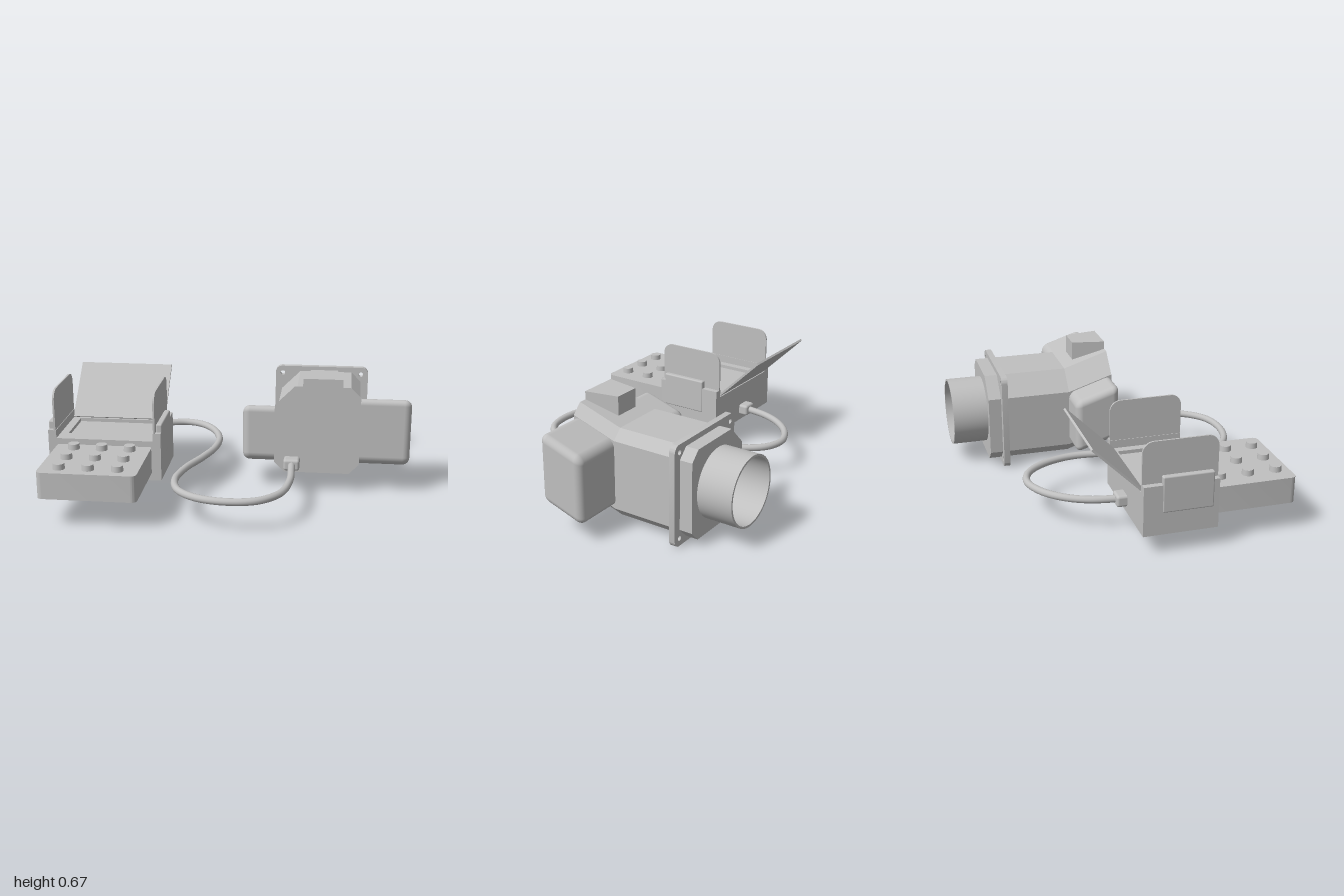
import * as THREE from 'three';
import { toCreasedNormals } from 'three/addons/utils/BufferGeometryUtils.js';
import { RoundedBoxGeometry } from 'three/addons/geometries/RoundedBoxGeometry.js';

const grey = new THREE.MeshStandardMaterial({ color: 0xc0c0c0 });
grey.name = 'plain grey';

const part = (parent, name, geometry) => {
  const mesh = new THREE.Mesh(geometry, grey);
  mesh.name = name;
  parent.add(mesh);
  return mesh;
};

// Box given by its limits on each axis, with optional rounded edges
function box([x0, x1], [y0, y1], [z0, z1], r = 0) {
  const s = [x1 - x0, y1 - y0, z1 - z0];
  const g = r ? new RoundedBoxGeometry(...s, 4, r) : new THREE.BoxGeometry(...s);
  return g.translate((x0 + x1) / 2, (y0 + y1) / 2, (z0 + z1) / 2);
}

const polygon = pts => new THREE.Shape(pts.map(p => new THREE.Vector2(...p)));

function roundedRect(x0, x1, y0, y1, r) {
  const s = new THREE.Shape();
  s.absarc(x1 - r, y1 - r, r, 0, Math.PI / 2);
  s.absarc(x0 + r, y1 - r, r, Math.PI / 2, Math.PI);
  s.absarc(x0 + r, y0 + r, r, Math.PI, Math.PI * 1.5);
  s.absarc(x1 - r, y0 + r, r, Math.PI * 1.5, Math.PI * 2);
  return s;
}

const extrude = (shape, depth) => toCreasedNormals(
  new THREE.ExtrudeGeometry(shape, { depth, bevelEnabled: false, curveSegments: 8 }), 0.6);

// Extrusion of a plan shape (x, -z) upward from y0 to y1
const extrudeUp = (shape, y0, y1) => extrude(shape, y1 - y0).rotateX(-Math.PI / 2).translate(0, y0, 0);

// Raises a geometry gradually towards the front, starting at z = -0.12
const lift = g => g.translate(0, 0, 0.12)
  .applyMatrix4(new THREE.Matrix4().makeShear(0, 0, 0, 0, 0, 0.325))
  .translate(0, 0, -0.12);
lift.slope = 0.325;

function slopeUp(g) {
  const k = lift.slope;
  return g.applyMatrix4(new THREE.Matrix4().set(1, 0, 0, 0, 0, 1, k, k * 0.12, 0, 0, 1, 0, 0, 0, 0, 1));
}

function createHousing() {
  const g = new THREE.Group();
  g.name = 'housing';

  // Chamfered body: straight at the back, rising towards the front
  const section = polygon([[0.295, 0.033], [0.66, 0.033], [0.715, 0.09], [0.715, 0.48],
    [0.66, 0.535], [0.35, 0.535], [0.24, 0.425], [0.24, 0.09]]);
  part(g, 'rearBody', extrude(section, 0.48).translate(0, 0, -0.6));
  part(g, 'frontBody', slopeUp(extrude(section, 0.26).translate(0, 0, -0.12)));

  // Rounded side wings
  part(g, 'rightWing', slopeUp(box([0.06, 0.4], [0.1, 0.42], [-0.12, 0.139], 0.04)));
  part(g, 'leftWing', slopeUp(box([0.55, 0.995], [0.1, 0.478], [-0.12, 0.139], 0.04)));

  // Tapered block on top
  part(g, 'topBlock', extrudeUp(polygon([[0.395, -0.14], [0.615, -0.14], [0.58, 0.05], [0.43, 0.05]]), 0.5, 0.665));

  // Mounting flange with a screw hole in each corner
  const plate = roundedRect(0.2, 0.76, 0, 0.565, 0.04);
  for (const x of [0.243, 0.717]) for (const y of [0.043, 0.522]) {
    plate.holes.push(new THREE.Path().absarc(x, y, 0.014, 0, Math.PI * 2, true));
  }
  part(g, 'mountingFlange', extrude(plate, 0.035).translate(0, 0, -0.527));

  // Hollow round duct at the back
  const ring = new THREE.Shape().absarc(0.475, 0.285, 0.195, 0, Math.PI * 2);
  ring.holes.push(new THREE.Path().absarc(0.475, 0.285, 0.183, 0, Math.PI * 2, true));
  part(g, 'rearDuct', toCreasedNormals(new THREE.ExtrudeGeometry(ring,
    { depth: 0.21, bevelEnabled: false, curveSegments: 48 }), 0.6).translate(0, 0, -0.8));

  part(g, 'frontCablePlug', box([0.295, 0.385], [0.145, 0.21], [0.12, 0.205], 0.015));
  return g;
}

function createController() {
  const g = new THREE.Group();
  g.name = 'controller';

  // Case with raised side walls and a recessed screen on top
  part(g, 'controllerCase', box([-1, -0.37], [0.11, 0.318], [-0.06, 0.34]));
  const frame = polygon([[-0.955, -0.34], [-0.415, -0.34], [-0.415, 0.06], [-0.955, 0.06]]);
  frame.holes.push(new THREE.Path([[-0.91, -0.25], [-0.91, 0.03], [-0.46, 0.03], [-0.46, -0.25]]
    .map(p => new THREE.Vector2(...p))));
  part(g, 'screenFrame', extrudeUp(frame, 0.318, 0.338));

  // Side walls, clips and upright shades, mirrored about the case centre
  const cx = -0.685;
  const shade = new THREE.Shape();
  shade.moveTo(-0.34, 0.32);
  shade.lineTo(0.06, 0.32);
  shade.lineTo(0.06, 0.55);
  shade.absarc(0, 0.55, 0.06, 0, Math.PI / 2);
  shade.absarc(-0.28, 0.55, 0.06, Math.PI / 2, Math.PI);
  for (const [side, s] of [['left', 1], ['right', -1]]) {
    const span = (a, b) => [cx + s * a, cx + s * b].sort((p, q) => p - q);
    part(g, side + 'CaseWall', box(span(0.27, 0.315), [0.318, 0.383], [-0.06, 0.34]));
    part(g, side + 'Clip', box(span(0.285, 0.318), [0.23, 0.428], [0.04, 0.312], 0.008));
    part(g, side + 'Shade', extrude(shade, 0.01).rotateY(Math.PI / 2)
      .translate(cx + s * 0.278 - 0.005, 0, 0));
  }

  // Lid tilted open behind the screen
  const lid = part(g, 'openLid', box([-0.272, 0.272], [0, 0.012], [-0.37, 0]));
  lid.position.set(cx, 0.335, -0.05);
  lid.rotation.x = 0.776;

  // Keypad with a three by three set of buttons
  part(g, 'keypad', extrudeUp(roundedRect(-0.947, -0.42, -0.79, -0.33, 0.03), 0.16, 0.305));
  for (const x of [-0.84, -0.685, -0.53]) for (const z of [0.405, 0.56, 0.715]) {
    part(g, 'button', new THREE.CylinderGeometry(0.03, 0.033, 0.035, 20).translate(x, 0.318, z));
  }

  part(g, 'rearCablePlug', box([-0.735, -0.645], [0.145, 0.21], [-0.115, -0.04], 0.015));
  return g;
}

export function createModel() {
  const model = new THREE.Group();
  model.name = 'housingWithController';
  model.add(createHousing(), createController());

  // Cable looping between the two units
  const path = [[0.34, 0.17], [0.345, 0.28], [0.345, 0.44], [0.305, 0.62], [0.2, 0.73], [0.05, 0.762],
    [-0.12, 0.725], [-0.23, 0.63], [-0.27, 0.48], [-0.24, 0.3], [-0.17, 0.12], [-0.12, -0.05],
    [-0.115, -0.22], [-0.17, -0.38], [-0.26, -0.48], [-0.37, -0.51], [-0.5, -0.46], [-0.6, -0.36],
    [-0.66, -0.24], [-0.69, -0.08]].map(([x, z]) => new THREE.Vector3(x, 0.177, z));
  part(model, 'cable', new THREE.TubeGeometry(new THREE.CatmullRomCurve3(path), 140, 0.02, 12));
  return model;
}
